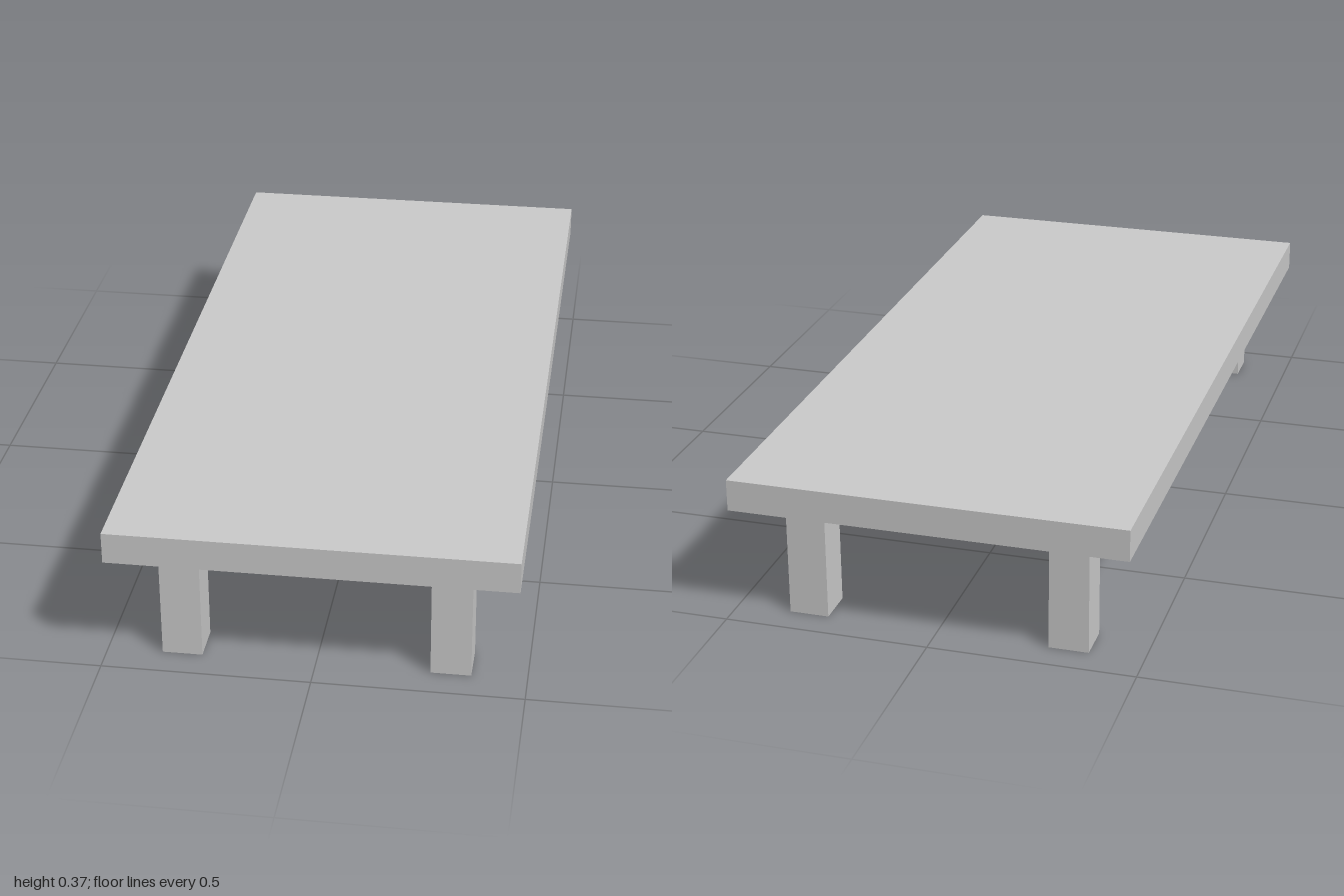
import * as THREE from 'three';

export function createModel() {
  const table = new THREE.Group();
  table.name = 'lowTable';
  const material = new THREE.MeshStandardMaterial({ color: 0xcccccc, flatShading: true });

  const legHeight = 0.289, legSize = 0.096, topThickness = 0.077;

  // Flat slab top
  const top = new THREE.Mesh(new THREE.BoxGeometry(0.96, topThickness, 2), material);
  top.name = 'tableTop';
  top.position.y = legHeight + topThickness / 2;
  table.add(top);

  // Four square legs, inset from the corners
  const legGeometry = new THREE.BoxGeometry(legSize, legHeight, legSize);
  for (const [zName, z] of [['front', 1], ['back', -1]]) {
    for (const [xName, x] of [['Left', 1], ['Right', -1]]) {
      const leg = new THREE.Mesh(legGeometry, material);
      leg.name = `${zName}${xName}Leg`;
      leg.position.set(x * 0.32, legHeight / 2, z * 0.875);
      table.add(leg);
    }
  }
  return table;
}
